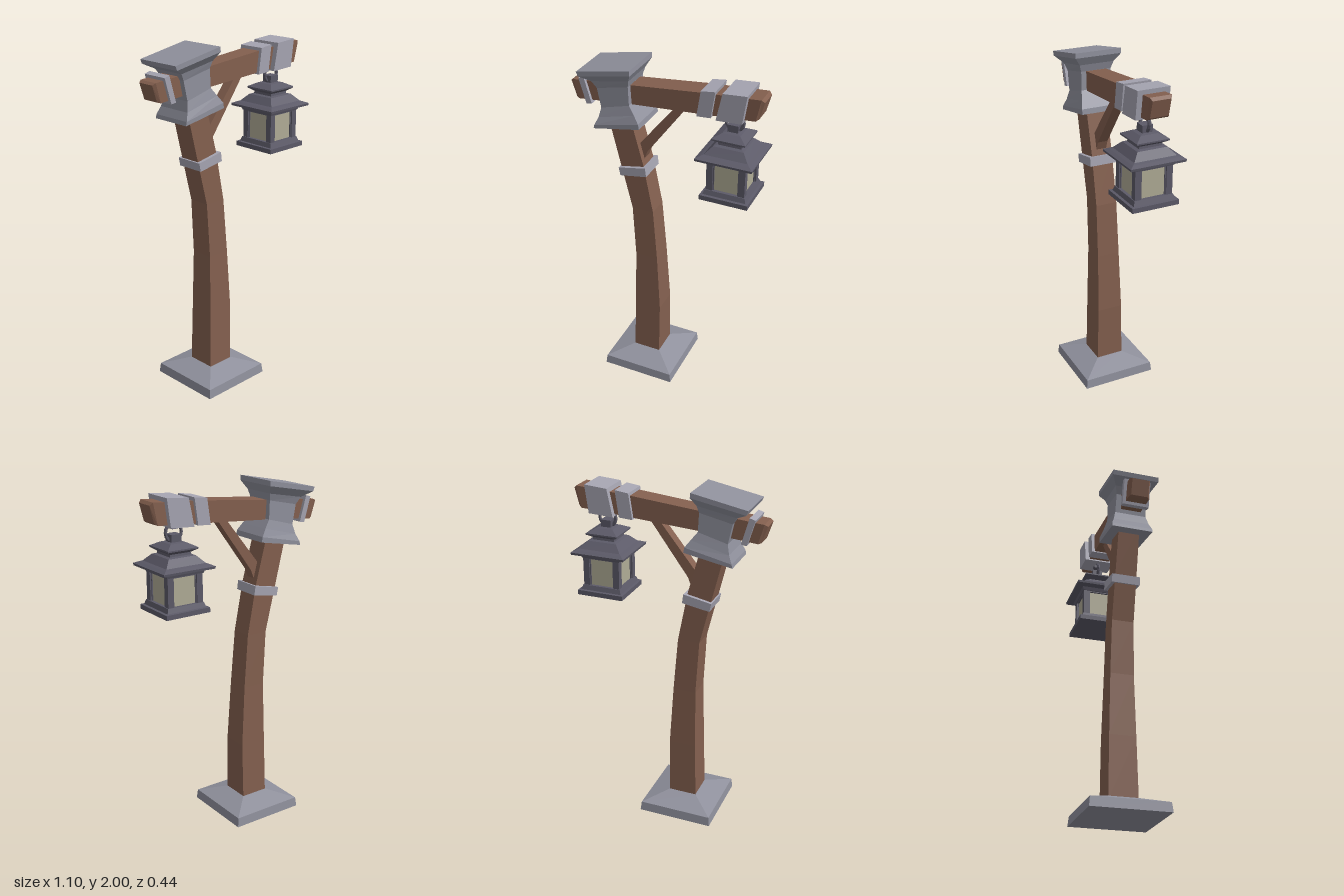
import * as THREE from 'three';

const mat = (color) => new THREE.MeshStandardMaterial({ color, flatShading: true });

// Lofts a solid through rectangular sections [ax, ay, bx, by, halfDepth].
// Each section runs from A to B in the xy plane and spans +-halfDepth in z;
// A lies to the left when looking along the loft.
function loft(sections) {
  const pos = [];
  const rings = sections.map(([ax, ay, bx, by, h]) => [
    [ax, ay, h], [bx, by, h], [bx, by, -h], [ax, ay, -h],
  ]);
  const quad = (a, b, c, d) => pos.push(...a, ...b, ...c, ...a, ...c, ...d);
  for (let s = 0; s < rings.length - 1; s++) {
    const lo = rings[s], hi = rings[s + 1];
    for (let i = 0; i < 4; i++) {
      const j = (i + 1) % 4;
      quad(lo[i], lo[j], hi[j], hi[i]);
    }
  }
  const first = rings[0], last = rings[rings.length - 1];
  quad(first[3], first[2], first[1], first[0]);
  quad(...last);
  const geo = new THREE.BufferGeometry();
  geo.setAttribute('position', new THREE.Float32BufferAttribute(pos, 3));
  geo.computeVertexNormals();
  return geo;
}

// Square-plan solid from a [halfWidth, y] profile, bottom to top
const squareTurned = (profile) => loft(profile.map(([w, y]) => [-w, y, w, y, w]));

export function createModel() {
  const wood = mat(0x84604f), stone = mat(0x8f909c), band = mat(0xa6a5b2);
  const iron = mat(0x5c5a68), glass = mat(0xb0ac96);
  const model = new THREE.Group();
  model.name = 'lanternPost';
  const add = (name, geo, material, parent = model) => {
    const mesh = new THREE.Mesh(geo, material);
    mesh.name = name;
    parent.add(mesh);
    return mesh;
  };

  // Stone foot
  add('base', squareTurned([[0.222, 0], [0.216, 0.055], [0.085, 0.1]]), stone).position.x = -0.107;

  // Bent timber post
  add('post', loft([
    [-0.19, 0.08, -0.025, 0.08, 0.083],
    [-0.182, 0.44, -0.02, 0.44, 0.076],
    [-0.175, 0.8, -0.04, 0.8, 0.068],
    [-0.193, 1.12, -0.065, 1.12, 0.064],
    [-0.258, 1.385, -0.12, 1.41, 0.063],
    [-0.33, 1.68, -0.2, 1.71, 0.062],
  ]), wood);
  add('postBand', loft([
    [-0.255, 1.33, -0.095, 1.357, 0.083],
    [-0.265, 1.378, -0.102, 1.41, 0.083],
  ]), band);

  // Flared, tilted cap
  add('cap', loft([
    [-0.39, 1.615, -0.115, 1.665, 0.12],
    [-0.385, 1.637, -0.12, 1.695, 0.12],
    [-0.365, 1.68, -0.15, 1.735, 0.105],
    [-0.352, 1.735, -0.185, 1.78, 0.092],
    [-0.375, 1.845, -0.19, 1.885, 0.09],
    [-0.4, 1.885, -0.18, 1.925, 0.103],
    [-0.46, 1.915, -0.155, 1.972, 0.137],
    [-0.47, 1.94, -0.157, 2.0, 0.137],
  ]), stone);

  // Cross beam with bevelled ends, and its bands
  add('beam', loft([
    [-0.552, 1.842, -0.522, 1.75, 0.05],
    [-0.535, 1.853, -0.505, 1.745, 0.06],
    [-0.185, 1.885, -0.185, 1.775, 0.06],
    [0.2, 1.922, 0.2, 1.802, 0.062],
    [0.535, 1.945, 0.51, 1.823, 0.062],
    [0.551, 1.93, 0.526, 1.835, 0.052],
  ]), wood);
  const beamBands = {
    rearBand: [[-0.492, 1.875, -0.45, 1.733, 0.078], [-0.46, 1.885, -0.418, 1.738, 0.078]],
    middleBand: [[0.217, 1.94, 0.196, 1.795, 0.08], [0.296, 1.95, 0.275, 1.8, 0.08]],
    frontBand: [[0.339, 1.955, 0.307, 1.8, 0.092], [0.471, 1.965, 0.45, 1.807, 0.092]],
  };
  for (const [name, sections] of Object.entries(beamBands)) add(name, loft(sections), band);

  // Diagonal brace, kinked at both ends
  add('brace', loft([
    [-0.19, 1.44, -0.14, 1.41, 0.03],
    [-0.16, 1.525, -0.11, 1.49, 0.03],
    [0.05, 1.785, 0.11, 1.79, 0.03],
    [0.085, 1.83, 0.15, 1.83, 0.03],
  ]), wood);

  // Hanging lantern
  const lantern = new THREE.Group();
  lantern.name = 'lantern';
  lantern.position.x = 0.38;
  model.add(lantern);
  add('lanternFloor', squareTurned([
    [0.137, 1.335], [0.137, 1.362], [0.122, 1.364], [0.113, 1.39],
  ]), iron, lantern);
  add('panes', new THREE.BoxGeometry(0.19, 0.2, 0.19), glass, lantern).position.y = 1.47;
  for (const sx of [-1, 1]) for (const sz of [-1, 1]) {
    add('cornerPost', new THREE.BoxGeometry(0.036, 0.19, 0.036), iron, lantern)
      .position.set(sx * 0.091, 1.47, sz * 0.091);
  }
  // Slim frames around each pane
  for (let i = 0; i < 4; i++) {
    const side = new THREE.Group();
    side.name = 'paneFrame';
    side.rotation.y = i * Math.PI / 2;
    lantern.add(side);
    for (const s of [-1, 1]) {
      add('paneUpright', new THREE.BoxGeometry(0.01, 0.19, 0.008), iron, side)
        .position.set(s * 0.072, 1.47, 0.097);
    }
    add('paneRail', new THREE.BoxGeometry(0.15, 0.016, 0.014), iron, side)
      .position.set(0, 1.554, 0.099);
  }
  add('lowerRoof', squareTurned([
    [0.113, 1.552], [0.12, 1.572], [0.158, 1.577], [0.16, 1.59],
    [0.138, 1.6], [0.122, 1.606], [0.085, 1.645], [0.066, 1.65], [0.064, 1.67],
  ]), iron, lantern);
  add('upperRoof', squareTurned([
    [0.06, 1.66], [0.094, 1.682], [0.094, 1.69], [0.05, 1.713],
    [0.03, 1.717], [0.03, 1.757],
  ]), iron, lantern);

  // Ring hooking the lantern to the beam
  add('ring', new THREE.TorusGeometry(0.049, 0.01, 6, 16), iron, lantern).position.y = 1.765;
  add('ringLug', new THREE.BoxGeometry(0.035, 0.035, 0.035), iron, lantern).position.y = 1.802;

  return model;
}
